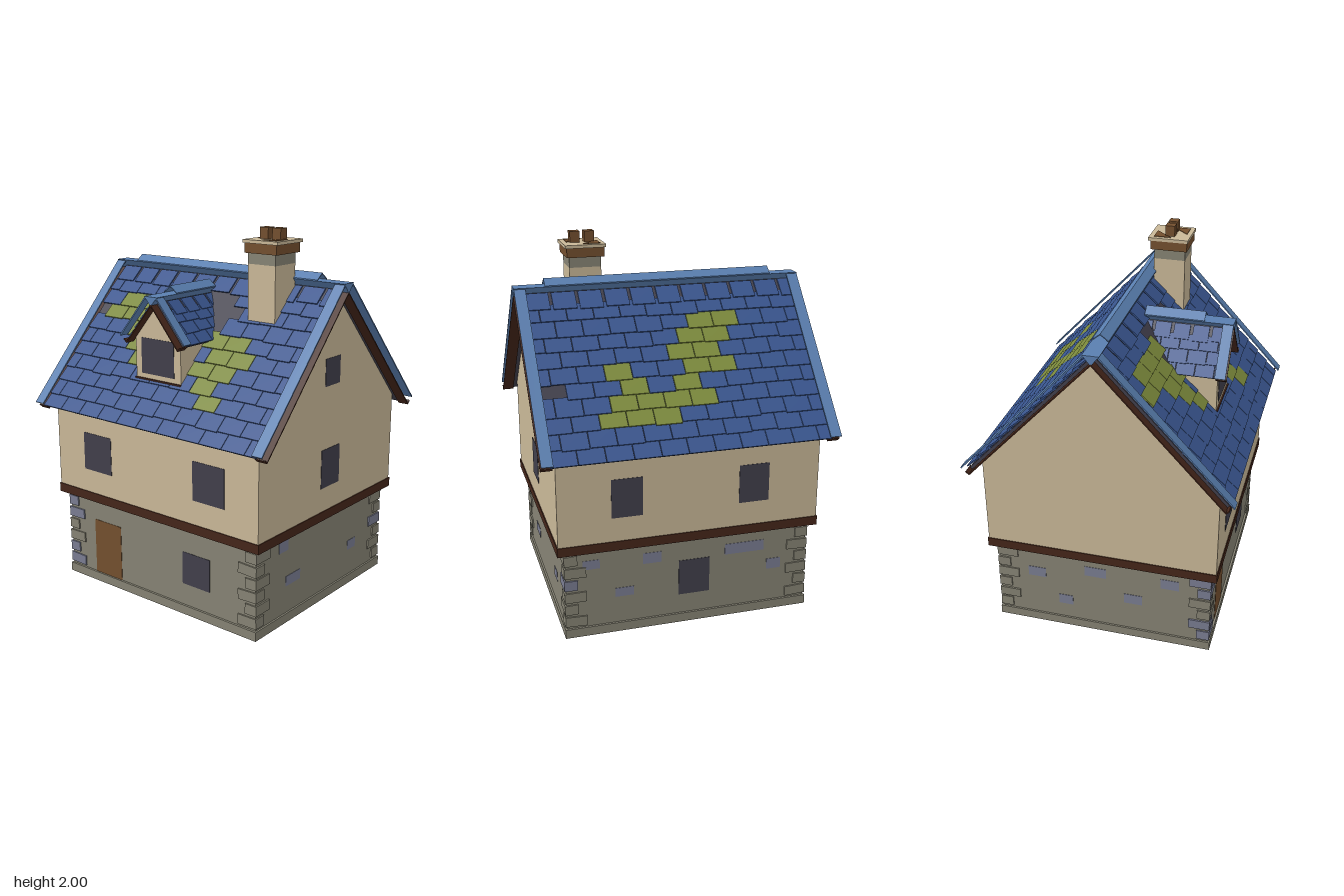
import * as THREE from 'three';

const COLORS = {
  plaster: 0xc9b898, stone: 0x868374, paleStone: 0x7a7d92, roofBlue: 0x39558e, trimBlue: 0x5a7fb0,
  moss: 0x7c8a3c, dark: 0x413f4b, wood: 0x734f2e, darkWood: 0x45261a,
};

export function createModel() {
  const M = {};
  for (const [name, color] of Object.entries(COLORS)) {
    M[name] = new THREE.MeshStandardMaterial({ color });
    M[name].name = name;
  }
  const root = new THREE.Group();
  root.name = 'cottage';

  let seed = 7;
  const rnd = () => (seed = (seed * 16807) % 2147483647) / 2147483647;

  const add = (name, geo, mat, parent = root) => {
    const mesh = new THREE.Mesh(geo, mat);
    mesh.name = name;
    parent.add(mesh);
    return mesh;
  };
  // box given by its limits on each axis
  const box = (name, mat, x0, x1, y0, y1, z0, z1, parent) => {
    const m = add(name, new THREE.BoxGeometry(x1 - x0, y1 - y0, z1 - z0), mat, parent);
    m.position.set((x0 + x1) / 2, (y0 + y1) / 2, (z0 + z1) / 2);
    return m;
  };
  // extruded outline running from a to b along z, or along x
  const prism = (name, mat, pts, a, b, alongX = false) => {
    const g = new THREE.ExtrudeGeometry(new THREE.Shape(pts.map(p => new THREE.Vector2(...p))),
      { depth: b - a, bevelEnabled: false });
    g.translate(0, 0, a);
    if (alongX) g.rotateY(Math.PI / 2);
    return add(name, g, mat);
  };
  // thin plate on a wall: u is x on front/back and z on the sides
  const plate = (name, mat, side, wall, u0, u1, y0, y1) => {
    const w0 = wall - 0.002, w1 = wall + 0.002;
    if (side === 'front') box(name, mat, u0, u1, y0, y1, w0, w1);
    if (side === 'back') box(name, mat, u0, u1, y0, y1, -w1, -w0);
    if (side === 'left') box(name, mat, w0, w1, y0, y1, u0, u1);
    if (side === 'right') box(name, mat, -w1, -w0, y0, y1, u0, u1);
  };

  // ground floor on a hollow plinth
  for (const s of [-1, 1]) {
    box('plinthSide', M.stone, s * 0.6625 - 0.0075, s * 0.6625 + 0.0075, 0, 0.05, -0.595, 0.595);
    box('plinthFront', M.stone, -0.655, 0.655, 0, 0.05, s * 0.5875 - 0.0075, s * 0.5875 + 0.0075);
  }
  box('groundFloor', M.stone, -0.66, 0.66, 0.045, 0.5, -0.583, 0.583);
  box('floorBeam', M.darkWood, -0.705, 0.705, 0.49, 0.54, -0.625, 0.625);

  // corner stones, alternately long on each wall
  for (const sx of [-1, 1]) for (const sz of [-1, 1]) for (let i = 0; i < 6; i++) {
    const long = i % 2 === 0;
    const lx = long ? 0.115 : 0.07, lz = long ? 0.07 : 0.115;
    const pale = sx < 0 && sz > 0 ? i !== 2 && i !== 3 : sx > 0 && sz < 0 && i === 3;
    const m = add('cornerStone', new THREE.BoxGeometry(lx, 0.055, lz), pale ? M.paleStone : M.stone);
    m.position.set(sx * (0.668 - lx / 2), 0.09 + i * 0.07, sz * (0.591 - lz / 2));
    m.rotation.z = (rnd() - 0.5) * 0.1;
  }

  // loose pale stones set in the walls
  const stones = {
    left: [[0.31, 0.39, 0.4, 0.46], [0.2, 0.33, 0.2, 0.255], [-0.34, -0.26, 0.2, 0.255]],
    right: [[-0.42, -0.32, 0.3, 0.36], [-0.25, -0.17, 0.14, 0.2], [-0.1, 0.02, 0.36, 0.42],
      [0.12, 0.22, 0.22, 0.28], [0.32, 0.42, 0.36, 0.42]],
    back: [[0.48, 0.57, 0.38, 0.43], [0.15, 0.25, 0.37, 0.43], [-0.42, -0.2, 0.36, 0.42],
      [0.3, 0.4, 0.2, 0.25], [-0.52, -0.44, 0.24, 0.3]],
  };
  for (const [side, list] of Object.entries(stones))
    for (const s of list) plate('wallStone', M.paleStone, side, side === 'back' ? 0.583 : 0.66, ...s);

  // upper floor with gables
  prism('upperFloor', M.plaster, [[-0.62, 0.54], [0.62, 0.54], [0.62, 1.037], [0, 1.7], [-0.62, 1.037]], -0.7, 0.7, true);

  // door and windows
  plate('door', M.wood, 'front', 0.583, -0.47, -0.27, 0.05, 0.365);
  plate('window', M.dark, 'front', 0.583, 0.18, 0.365, 0.17, 0.35);
  plate('window', M.dark, 'back', 0.583, -0.115, 0.055, 0.16, 0.36);
  plate('window', M.dark, 'front', 0.62, -0.495, -0.29, 0.67, 0.88);
  plate('window', M.dark, 'front', 0.62, 0.285, 0.49, 0.67, 0.88);
  for (const s of [-1, 1]) plate('window', M.dark, 'back', 0.62, s * 0.34 - 0.082, s * 0.34 + 0.082, 0.67, 0.88);
  plate('window', M.dark, 'left', 0.7, -0.083, 0.085, 0.67, 0.88);
  plate('window', M.dark, 'left', 0.7, -0.067, 0.067, 1.215, 1.36);

  // one tiled roof slope: local z runs down the slope, rows are counted up from the eave;
  // patches are [x0, x1, z0, z1, material] with z measured level from the ridge, no material leaves a hole
  const slope = (name, { x, y, turn, pitch, x0, x1, length, rows, col, patches = [], barges }) => {
    const outer = new THREE.Group(), g = new THREE.Group();
    outer.name = name;
    outer.position.set(x, y, 0);
    outer.rotation.y = turn;
    g.rotation.x = pitch;
    outer.add(g);
    root.add(outer);
    box('underlay', M.dark, x0, x1, 0, 0.016, 0, length, g);
    const h = length / rows;
    for (let j = 0; j < rows; j++) {
      const level = (length - (j + 0.5) * h) * Math.cos(pitch) + 0.02;
      const gap = j === rows - 1 ? 0.008 : 0.0015;
      for (let a = x0 - (j % 2) * col / 2; a < x1 - 0.01; a += col) {
        const l = Math.max(a + gap, x0), r = Math.min(a + col - gap, x1);
        if (r - l < 0.01) continue;
        const mid = (l + r) / 2;
        const patch = patches.find(p => mid > p[0] && mid < p[1] && level > p[2] && level < p[3]);
        const mat = patch ? patch[4] : M.roofBlue;
        if (!mat) continue;
        const len = h * 1.15 + (j ? rnd() * 0.01 : 0);
        const t = add('tile', new THREE.BoxGeometry(r - l, 0.007, len), mat, g);
        t.position.set(mid, 0.024, Math.max(length - (j + 1) * h + len / 2 - 0.005, len / 2 + 0.01));
        t.rotation.x = -0.09;
      }
    }
    // edge trim: open sheets above and below the tiles
    for (const [b0, b1] of barges) {
      box('bargeTrim', M.trimBlue, b0, b1, 0.046, 0.053, 0, length + 0.01, g);
      box('bargeBoard', M.darkWood, b0, b1, -0.007, -0.001, 0, length + 0.008, g);
      box('bargeEnd', M.darkWood, b0, b1, -0.007, 0.02, length + 0.002, length + 0.008, g);
    }
  };
  // folded ridge sheet, open at both ends
  const ridge = (name, w, y0, y1, a, b, alongX) => prism(name, M.trimBlue,
    [[-w, y0], [0, y1 - 0.006], [w, y0], [w, y0 + 0.006], [0, y1], [-w, y0 + 0.006]], a, b, alongX);

  // main roof
  const main = { x: 0, y: 1.7, pitch: Math.atan(1.07), x0: -0.735, x1: 0.735, length: 0.97, rows: 11, col: 0.14,
    barges: [[-0.78, -0.72], [0.72, 0.78]] };
  slope('frontRoof', { ...main, turn: 0, patches: [
    [-0.63, -0.22, 0.17, 0.28, M.moss], [-0.44, -0.2, 0.28, 0.35, M.moss], [-0.36, -0.2, 0.35, 0.42, M.moss],
    [0.14, 0.42, 0.24, 0.36, M.moss], [0.14, 0.37, 0.36, 0.45, M.moss], [0.19, 0.36, 0.45, 0.55, M.moss],
    [-0.22, 0.2, 0.07, 0.25], [-0.74, -0.64, 0.2, 0.28],
  ] });
  slope('backRoof', { ...main, turn: Math.PI, patches: [
    [0.08, 0.35, 0.17, 0.25, M.moss], [0, 0.3, 0.25, 0.31, M.moss], [0, 0.28, 0.31, 0.37, M.moss],
    [-0.33, -0.21, 0.31, 0.37, M.moss], [-0.05, 0.14, 0.37, 0.43, M.moss], [-0.37, -0.17, 0.37, 0.43, M.moss],
    [-0.45, 0.14, 0.43, 0.5, M.moss], [-0.49, 0.02, 0.5, 0.56, M.moss], [-0.74, -0.62, 0.37, 0.43],
  ] });
  prism('ridgeFill', M.trimBlue, [[-0.042, 1.742], [0, 1.69], [0.042, 1.742]], -0.78, 0.78, true);
  ridge('ridgeCap', 0.042, 1.742, 1.78, -0.62, 0.62, true);

  // dormer
  const dx = -0.05;
  prism('dormerWall', M.plaster, [[-0.155, 1.2], [0.155, 1.2], [0.155, 1.435], [0, 1.62], [-0.155, 1.435]], 0.1, 0.495)
    .position.x = dx;
  box('dormerSill', M.darkWood, -0.208, 0.108, 1.197, 1.215, 0.42, 0.503);
  plate('dormerWindow', M.dark, 'front', 0.495, -0.165, 0.06, 1.24, 1.43);
  for (const s of [-1, 1]) {
    const span = (a, b) => (s > 0 ? [-b, -a] : [a, b]);
    const [x0, x1] = span(0.08, 0.5);
    slope('dormerRoof', { x: dx, y: 1.62, turn: s * Math.PI / 2, pitch: Math.atan(1.19), x0, x1,
      length: 0.275, rows: 4, col: 0.1, barges: [span(0.49, 0.545)] });
  }
  prism('dormerRidgeFill', M.trimBlue, [[-0.044, 1.658], [0, 1.61], [0.044, 1.658]], 0.08, 0.545).position.x = dx;
  ridge('dormerRidgeCap', 0.044, 1.658, 1.698, 0.08, 0.395, false).position.x = dx;

  // chimney
  box('chimneyStack', M.plaster, 0.305, 0.475, 1.45, 1.82, 0.03, 0.2);
  box('chimneyBand', M.stone, 0.305, 0.475, 1.82, 1.875, 0.03, 0.2);
  box('chimneyCollar', M.wood, 0.29, 0.49, 1.875, 1.925, 0.012, 0.212);
  box('chimneyCap', M.plaster, 0.283, 0.5, 1.925, 1.942, 0, 0.218);
  for (const s of [1, -1]) {
    const tri = prism('capInset', M.wood, [[-0.083, -0.083], [0.01, -0.083], [-0.083, 0.01]], 0, 0.004);
    tri.rotation.set(-Math.PI / 2, 0, s > 0 ? -Math.PI / 2 : Math.PI / 2);
    tri.position.set(0.391, 1.941, 0.11);
  }
  for (const px of [0.355, 0.432]) box('chimneyPot', M.wood, px - 0.026, px + 0.026, 1.94, 2, 0.084, 0.136);

  return root;
}
